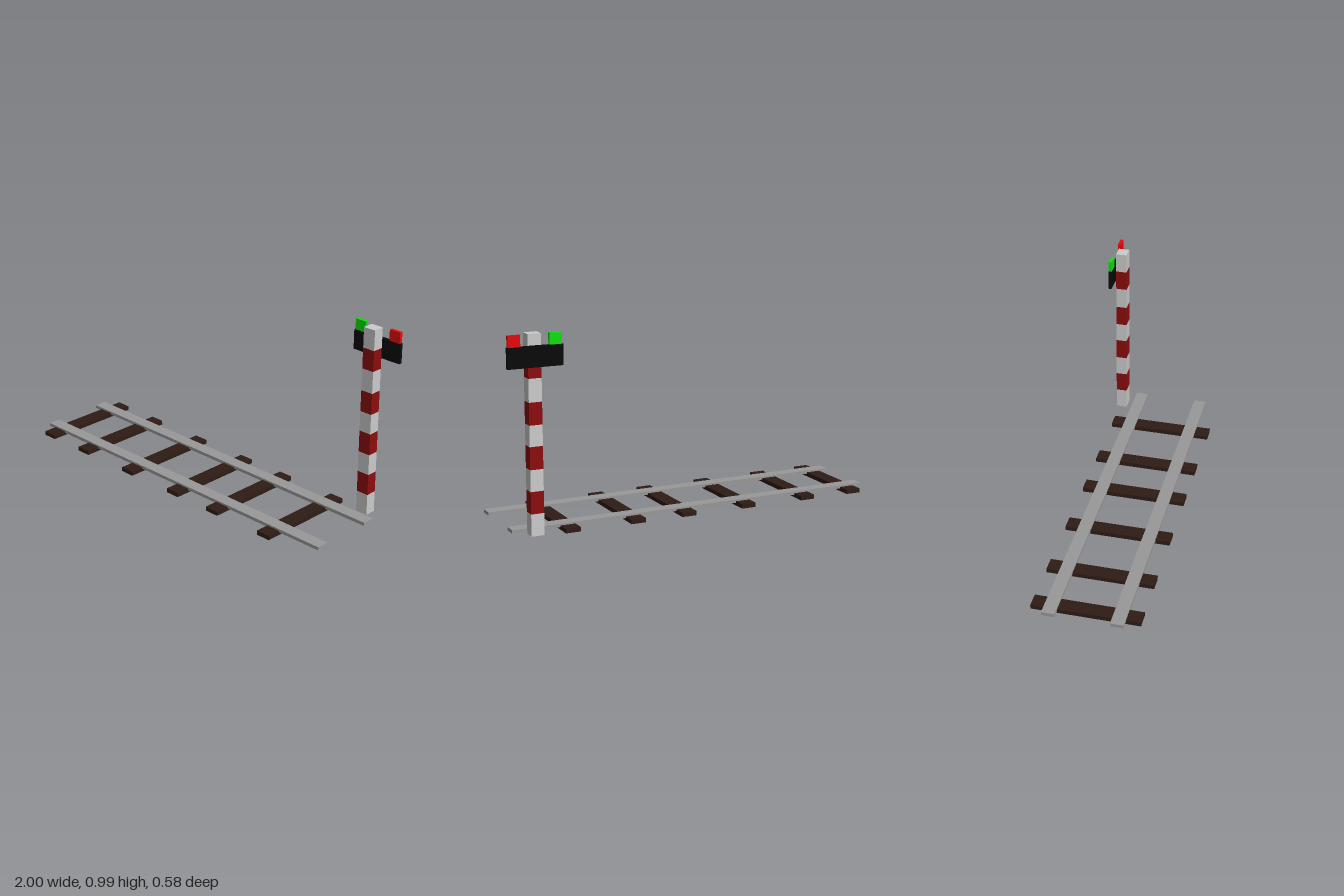
import * as THREE from 'three';

const mat = (color) => new THREE.MeshStandardMaterial({ color });

export function createModel() {
  const model = new THREE.Group();
  model.name = 'railwayTrackWithSignal';

  const wood = mat(0x2e1c15), steel = mat(0x999999), white = mat(0xcccccc);
  const darkRed = mat(0x8c0d0d), black = mat(0x0a0a0a);
  const green = mat(0x10e010), red = mat(0xe60a0a);

  // Box given by its extents along each axis
  function box(parent, name, material, [x0, x1], [y0, y1], [z0, z1]) {
    const mesh = new THREE.Mesh(new THREE.BoxGeometry(x1 - x0, y1 - y0, z1 - z0), material);
    mesh.position.set((x0 + x1) / 2, (y0 + y1) / 2, (z0 + z1) / 2);
    mesh.name = name;
    parent.add(mesh);
  }

  // Track: unevenly spaced sleepers with two rails let into them
  const track = new THREE.Group();
  track.name = 'track';
  model.add(track);
  [-0.913, -0.636, -0.29, 0.047, 0.325, 0.671].forEach((x, i) =>
    box(track, `sleeper${i + 1}`, wood, [x - 0.039, x + 0.039], [0, 0.022], [-0.253, 0.29]));
  box(track, 'frontRail', steel, [-1, 0.958], [0.014, 0.031], [0.151, 0.217]);
  box(track, 'backRail', steel, [-1, 0.958], [0.014, 0.031], [-0.186, -0.12]);

  // Signal post: stacked bands alternating white and red
  const signal = new THREE.Group();
  signal.name = 'signal';
  model.add(signal);
  const bands = [0.014, 0.123, 0.232, 0.338, 0.449, 0.552, 0.661, 0.774, 0.88, 0.984];
  for (let i = 0; i < bands.length - 1; i++) {
    box(signal, `postBand${i + 1}`, i % 2 ? darkRed : white,
      [0.827, 0.893], [bands[i], bands[i + 1]], [-0.273, -0.216]);
  }

  // Board behind the post, with a light standing at each end
  const depth = [-0.29, -0.273];
  box(signal, 'signalBoard', black, [0.723, 1], [0.828, 0.929], depth);
  box(signal, 'greenLight', green, [0.73, 0.791], [0.929, 0.985], depth);
  box(signal, 'redLight', red, [0.935, 0.996], [0.929, 0.985], depth);

  return model;
}
